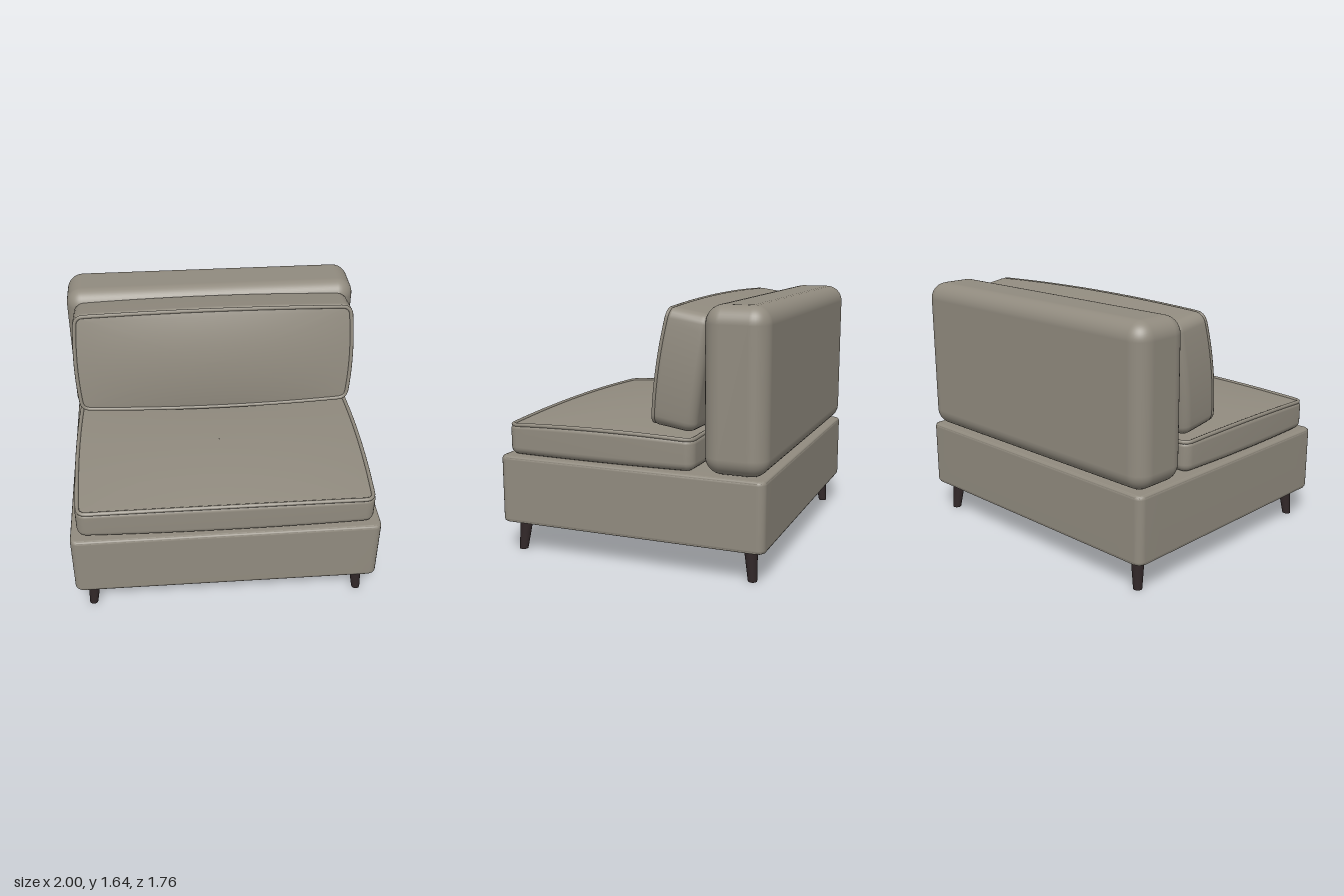
import * as THREE from 'three';
import { RoundedBoxGeometry } from 'three/addons/geometries/RoundedBoxGeometry.js';

const fabric = new THREE.MeshStandardMaterial({ color: 0x918b7f });
fabric.name = 'greige fabric';
const wood = new THREE.MeshStandardMaterial({ color: 0x33292a });
wood.name = 'dark wood';

// Rounded rectangle in x-z, as evenly ordered points
function outline(w, d, r) {
  const pts = [], arc = 5, side = 14;
  const centres = [[1, 1], [-1, 1], [-1, -1], [1, -1]];
  centres.forEach(([sx, sz], k) => {
    for (let i = 0; i <= arc; i++) {
      const a = (k + i / arc) * Math.PI / 2;
      pts.push([sx * (w / 2 - r) + r * Math.cos(a), sz * (d / 2 - r) + r * Math.sin(a)]);
    }
    const [nx, nz] = centres[(k + 1) % 4];
    const a = (k + 1) * Math.PI / 2;
    const from = pts[pts.length - 1];
    const to = [nx * (w / 2 - r) + r * Math.cos(a), nz * (d / 2 - r) + r * Math.sin(a)];
    for (let i = 1; i < side; i++) {
      const t = i / side;
      pts.push([from[0] + (to[0] - from[0]) * t, from[1] + (to[1] - from[1]) * t]);
    }
  });
  return pts;
}

// Stuffing: bulged sides, bowed seam and a crowned top
function stuff(o, x, y, z) {
  const u = 1 - Math.min(1, (2 * x / o.w) ** 2);
  const v = 1 - Math.min(1, (2 * z / o.d) ** 2);
  const lift = (y / o.h) ** 2;
  return new THREE.Vector3(
    x + 2 * x / o.w * o.bulge * v,
    y + lift * (o.bow * (u + v) + o.crown * u * v),
    z + 2 * z / o.d * o.bulge * u);
}

// Upholstered block lofted from stacked outlines
function block(o) {
  const rings = [], steps = 5, caps = 12;
  for (let i = 0; i < caps; i++) rings.push([o.rBottom, 0, Math.max(i / caps, 0.001)]);
  for (let i = 0; i <= steps; i++) {
    const a = i / steps * Math.PI / 2;
    rings.push([o.rBottom * (1 - Math.sin(a)), o.rBottom * (1 - Math.cos(a)), 1]);
  }
  for (let i = 0; i <= steps; i++) {
    const a = i / steps * Math.PI / 2;
    rings.push([o.rTop * (1 - Math.cos(a)), o.h - o.rTop * (1 - Math.sin(a)), 1]);
  }
  for (let i = caps - 1; i >= 0; i--) rings.push([o.rTop, o.h, Math.max(i / caps, 0.001)]);

  const pos = [], index = [];
  let n = 0;
  for (const [inset, y, s] of rings) {
    const pts = outline(o.w - 2 * inset, o.d - 2 * inset, Math.max(o.corner - inset, 0.01));
    n = pts.length;
    for (const [x, z] of pts) pos.push(...stuff(o, x * s, y, z * s).toArray());
  }
  for (let i = 0; i < rings.length - 1; i++) {
    for (let j = 0; j < n; j++) {
      const a = i * n + j, b = i * n + (j + 1) % n;
      index.push(a, a + n, b, b, a + n, b + n);
    }
  }
  const g = new THREE.BufferGeometry();
  g.setAttribute('position', new THREE.Float32BufferAttribute(pos, 3));
  g.setIndex(index);
  g.computeVertexNormals();
  return g;
}

// Piping cord that follows the block's outline at one height
function piping(o, y, inset, radius) {
  const pts = outline(o.w - 2 * inset, o.d - 2 * inset, o.corner - inset)
    .map(([x, z]) => stuff(o, x, y, z));
  return new THREE.TubeGeometry(new THREE.CatmullRomCurve3(pts, true), 240, radius, 8, true);
}

function add(parent, name, geometry, material) {
  const mesh = new THREE.Mesh(geometry, material);
  mesh.name = name;
  parent.add(mesh);
  return mesh;
}

function group(parent, name) {
  const g = new THREE.Group();
  g.name = name;
  parent.add(g);
  return g;
}

export function createModel() {
  const model = new THREE.Group();
  model.name = 'armlessSofa';

  // Base with a cord along its upper and lower edges
  const base = { w: 2, d: 1.76, h: 0.44, corner: 0.05, rBottom: 0.025, rTop: 0.025, bulge: 0, bow: 0, crown: 0 };
  const baseGroup = group(model, 'base');
  baseGroup.position.y = 0.2;
  add(baseGroup, 'baseBody', block(base), fabric);
  add(baseGroup, 'baseTopPiping', piping(base, base.h - 0.014, 0.014, 0.012), fabric);
  add(baseGroup, 'baseBottomPiping', piping(base, 0.014, 0.014, 0.012), fabric);

  // Seat cushion
  const seat = { w: 1.9, d: 1.26, h: 0.19, corner: 0.06, rBottom: 0.05, rTop: 0.025, bulge: 0.02, bow: 0.018, crown: 0.026 };
  const seatGroup = group(model, 'seatCushion');
  seatGroup.position.set(0, 0.64, 0.21);
  add(seatGroup, 'seatBody', block(seat), fabric);
  add(seatGroup, 'seatPiping', piping(seat, seat.h, 0.016, 0.013), fabric);

  // Back cushion, stood up and leaned against the backrest
  const back = { w: 1.88, d: 0.71, h: 0.265, corner: 0.06, rBottom: 0.06, rTop: 0.025, bulge: 0.022, bow: 0.012, crown: 0.036 };
  const backGroup = group(model, 'backCushion');
  backGroup.position.set(0, 1.222, -0.475);
  backGroup.rotation.x = Math.PI / 2 - 0.15;
  add(backGroup, 'backBody', block(back), fabric);
  add(backGroup, 'backPiping', piping(back, back.h, 0.014, 0.013), fabric);

  // Backrest
  add(model, 'backrest', new RoundedBoxGeometry(2, 1, 0.396, 5, 0.11), fabric)
    .position.set(0, 1.14, -0.682);

  // Tapered legs, splayed outward toward the floor
  for (const sx of [-1, 1]) {
    for (const sz of [-1, 1]) {
      const leg = new THREE.CylinderGeometry(0.043, 0.028, 0.21, 20);
      const p = leg.attributes.position;
      for (let i = 0; i < p.count; i++) {
        const t = 0.5 - p.getY(i) / 0.21;
        p.setX(i, p.getX(i) + sx * (0.877 + 0.02 * t));
        p.setZ(i, p.getZ(i) + sz * (0.765 + 0.02 * t));
      }
      add(model, (sz > 0 ? 'front' : 'back') + (sx > 0 ? 'Left' : 'Right') + 'Leg', leg, wood)
        .position.y = 0.105;
    }
  }
  return model;
}
